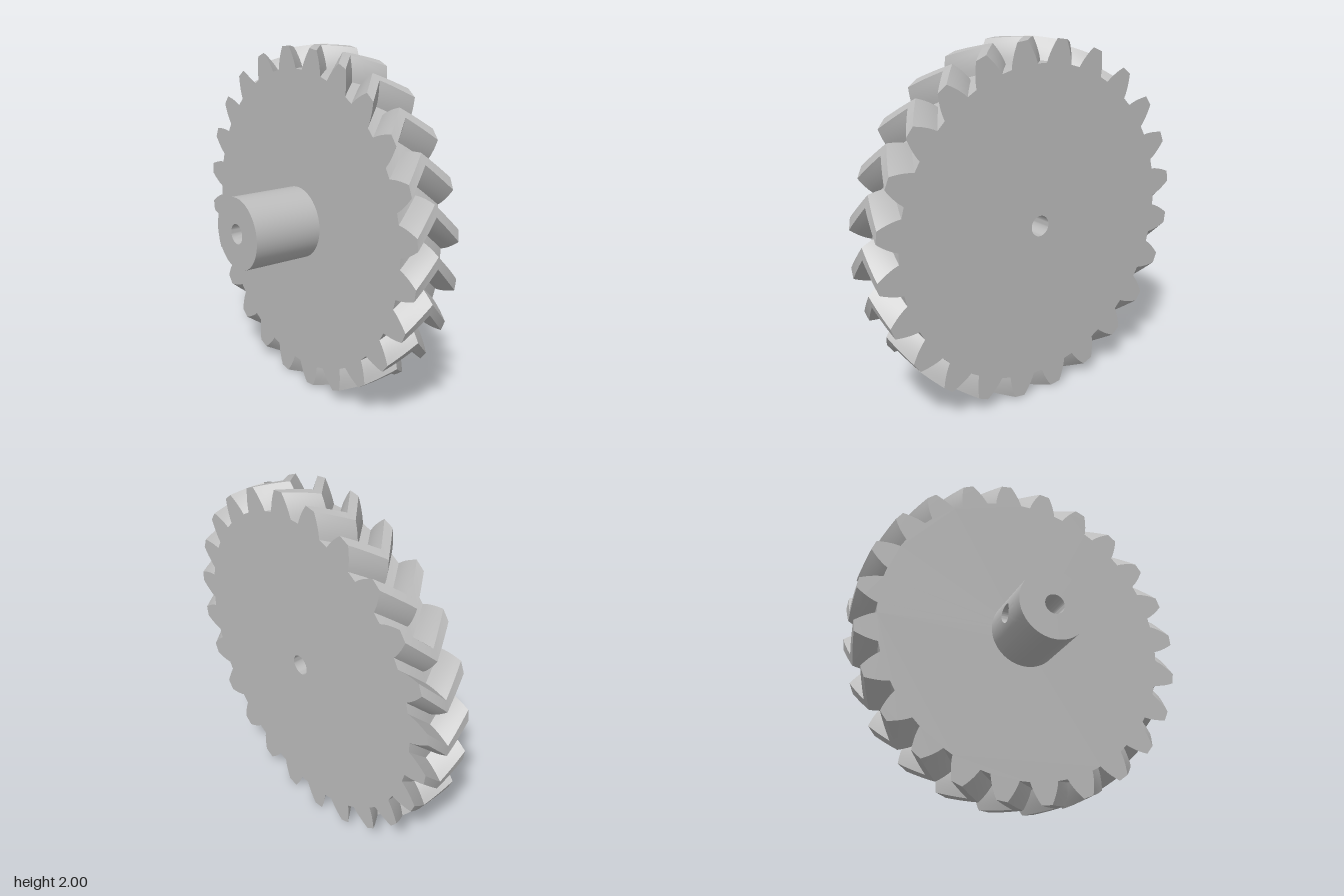
import * as THREE from 'three';
import { toCreasedNormals } from 'three/addons/utils/BufferGeometryUtils.js';

const TEETH = 24, TIP = 1, ROOT = 0.875, PITCH = 0.944;
const PRESSURE = 0.4747;                 // transverse pressure angle
const BASE = PITCH * Math.cos(PRESSURE); // involute base circle
const X0 = 0.07, X1 = 0.345, HUB_X = -0.345;
const TWIST = (X1 - X0) / 2 / PITCH;     // 45 degree helix to the mid plane
const HUB_R = 0.208, BORE_R = 0.058, HOLE_R = 0.055, HOLE_X = (HUB_X + X0) / 2;

// Skin a grid of points given as rows of Vector3
function skin(rows, flip = false) {
  const cols = rows[0].length, idx = [];
  for (let i = 0; i < rows.length - 1; i++)
    for (let j = 0; j < cols - 1; j++) {
      const a = i * cols + j, b = a + 1, c = a + cols + 1, d = a + cols;
      if (flip) idx.push(a, b, c, a, c, d);
      else idx.push(a, c, b, a, d, c);
    }
  const g = new THREE.BufferGeometry().setFromPoints(rows.flat());
  g.setIndex(idx);
  return toCreasedNormals(g, 0.5);
}

const range = (n, f) => Array.from({ length: n + 1 }, (_, i) => f(i / n));

// Half of the tooth's angular width at radius r (involute flank)
function halfWidth(r) {
  const inv = a => Math.tan(a) - a;
  return Math.PI / 2 / TEETH + inv(PRESSURE) - inv(Math.acos(BASE / r));
}

// Gear outline as [radius, angle], with a tooth gap at the top
function gearOutline() {
  const pts = [], steps = 5;
  for (let k = 0; k < TEETH; k++) {
    const mid = (k + 0.5) * 2 * Math.PI / TEETH;
    const radii = range(steps, t => ROOT + (TIP - ROOT) * t);
    radii.forEach(r => pts.push([r, mid - halfWidth(r)]));
    radii.reverse().forEach(r => pts.push([r, mid + halfWidth(r)]));
  }
  return pts;
}

// Point on a cylinder about the x axis; angle 0 is the back
const onCyl = (R, a, x) => new THREE.Vector3(x, R * Math.sin(a), -R * Math.cos(a));

// Point on the rim of the radial screw hole
const rim = (R, p) => onCyl(R, Math.asin(HOLE_R * Math.sin(p) / R), HOLE_X + HOLE_R * Math.cos(p));

// Cylinder patch of half-angle A with the screw hole cut in it
function holedPatch(R, A, flip) {
  const half = (X0 - HUB_X) / 2;
  return skin(range(8, t => range(64, u => {
    const p = u * 2 * Math.PI, c = Math.cos(p), s = Math.sin(p);
    const k = 1 / Math.max(Math.abs(c), Math.abs(s));
    const x = THREE.MathUtils.lerp(HOLE_R * c, half * c * k, t);
    const a = THREE.MathUtils.lerp(Math.asin(HOLE_R * s / R), A * s * k, t);
    return onCyl(R, a, HOLE_X + x);
  })), flip);
}

// Cylinder wall from angle A round to the other side
const wall = (R, A, x0, x1, flip) => skin([x0, x1].map(x =>
  range(40, t => onCyl(R, A + (2 * Math.PI - 2 * A) * t, x))), flip);

export function createModel() {
  const model = new THREE.Group();
  const steel = new THREE.MeshStandardMaterial({ color: 0xbcbcbc });
  steel.name = 'grey steel';
  const add = (parent, name, geometry) => {
    const m = new THREE.Mesh(geometry, steel);
    m.name = name;
    parent.add(m);
    return m;
  };

  // Herringbone gear wheel
  const gear = new THREE.Group();
  gear.name = 'gearWheel';
  const outline = gearOutline();
  const closed = [...outline, outline[0]];
  add(gear, 'teeth', skin(range(12, t => {
    const turn = TWIST * (1 - Math.abs(2 * t - 1));
    return closed.map(([r, a]) => new THREE.Vector3(
      X0 + (X1 - X0) * t, r * Math.cos(a + turn), -r * Math.sin(a + turn)));
  })));

  // Flat side faces with the bore cut out
  const face = new THREE.Shape(outline.map(([r, a]) =>
    new THREE.Vector2(r * Math.sin(a), r * Math.cos(a))));
  face.holes.push(new THREE.Path().absarc(0, 0, BORE_R, 0, 2 * Math.PI, true));
  for (const [name, x, side] of [['outerFace', X1, 1], ['hubSideFace', X0, -1]]) {
    const m = add(gear, name, new THREE.ShapeGeometry(face, 20).rotateY(side * Math.PI / 2));
    m.position.x = x;
  }
  add(gear, 'gearBore', wall(BORE_R, 0, X0, X1, false));

  // Hub with its bore and radial set screw hole
  const hub = new THREE.Group();
  hub.name = 'hub';
  add(hub, 'hubWall', wall(HUB_R, Math.PI / 4, HUB_X, X0, true));
  add(hub, 'hubWallAroundHole', holedPatch(HUB_R, Math.PI / 4, true));
  add(hub, 'hubBore', wall(BORE_R, Math.PI / 2, HUB_X, X0, false));
  add(hub, 'hubBoreAroundHole', holedPatch(BORE_R, Math.PI / 2, false));
  add(hub, 'screwHole', skin([HUB_R, BORE_R].map(R => range(64, u => rim(R, u * 2 * Math.PI)))));
  const end = add(hub, 'hubEnd', new THREE.RingGeometry(BORE_R, HUB_R, 56).rotateY(-Math.PI / 2));
  end.position.x = HUB_X;

  model.add(gear, hub);
  gear.position.y = hub.position.y = 1;
  return model;
}
